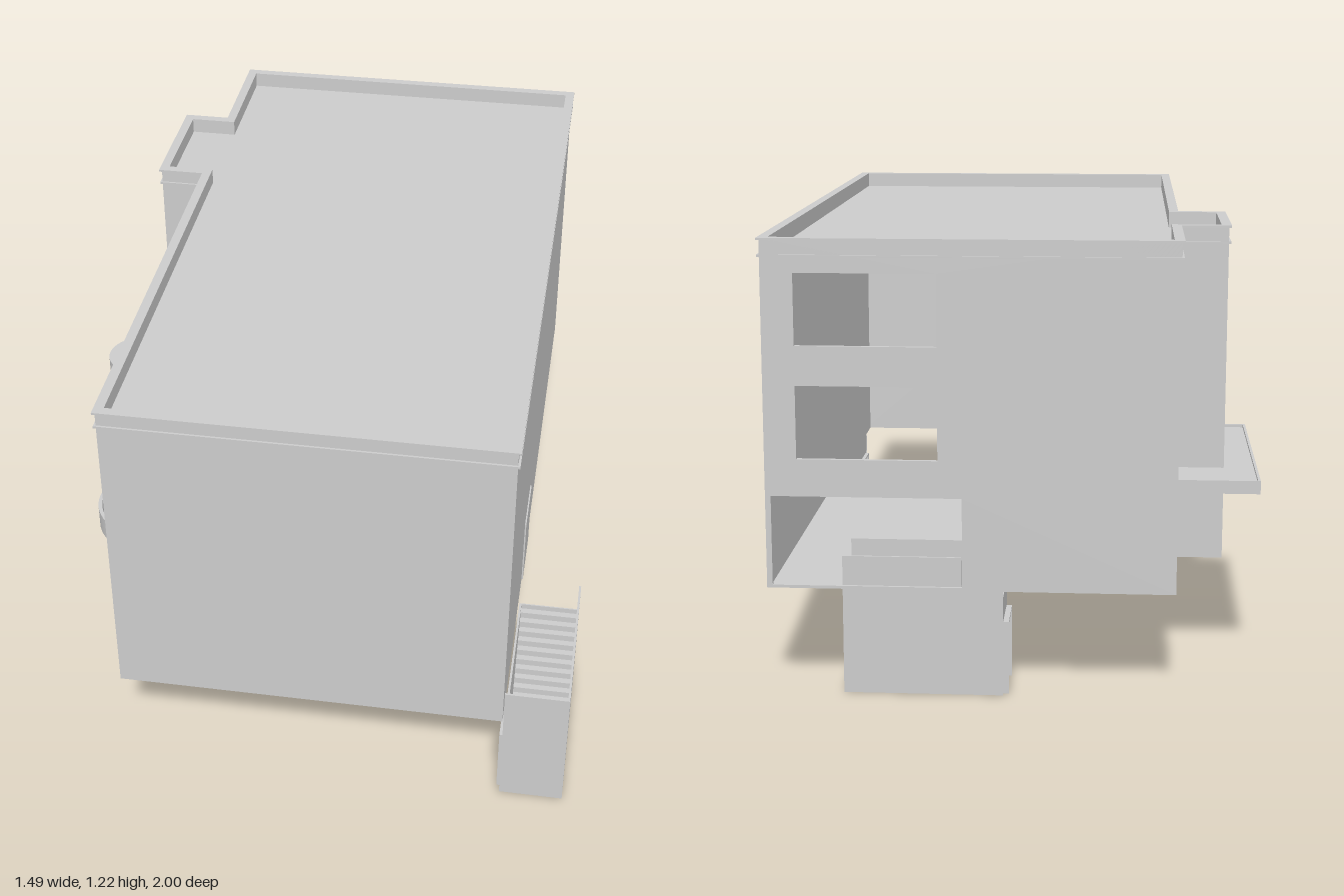
import * as THREE from 'three';
import { toCreasedNormals } from 'three/addons/utils/BufferGeometryUtils.js';

const MAT = new THREE.MeshStandardMaterial({ color: 0xcccccc, side: THREE.DoubleSide });

// Building footprint as [x, z] corners; the inside lies to the right of travel seen from above
const PLAN = [
  [-0.52, -0.993], [0.56, -0.993], [0.56, 0.993], [-0.52, 0.993],
  [-0.52, -0.275], [-0.655, -0.275], [-0.655, -0.635], [-0.52, -0.635],
];
const BASE = 0.29, ROOF = 1.175, TOP = 1.22;

function mesh(parent, name, geometry) {
  const m = new THREE.Mesh(geometry, MAT);
  m.name = name;
  parent.add(m);
  return m;
}

// Box given by its min and max corners
function box(parent, name, [x0, y0, z0], [x1, y1, z1]) {
  const m = mesh(parent, name, new THREE.BoxGeometry(x1 - x0, y1 - y0, z1 - z0));
  m.position.set((x0 + x1) / 2, (y0 + y1) / 2, (z0 + z1) / 2);
  return m;
}

const path = (pts) => pts.map(([x, y]) => new THREE.Vector2(x, y));

// Horizontal plate with its top at y
function slab(parent, name, outline, holes, y, thickness) {
  const shape = new THREE.Shape(path(outline));
  holes.forEach((h) => shape.holes.push(new THREE.Path(path(h))));
  const g = new THREE.ExtrudeGeometry(shape, { depth: thickness, bevelEnabled: false });
  g.rotateX(Math.PI / 2);
  mesh(parent, name, g).position.y = y;
}

const rect = (a0, b0, a1, b1) => [[a0, b0], [a1, b0], [a1, b1], [a0, b1]];

// Axis-aligned wall from a to b; openings are [start, end, bottom, top] along its world axis
function wall(parent, name, a, b, y0, y1, openings = [], thickness = 0.012) {
  const dx = b[0] - a[0], dz = b[1] - a[1];
  const origin = Math.abs(dx) > Math.abs(dz) ? a[0] : a[1];
  const shape = new THREE.Shape(path(rect(0, y0, Math.hypot(dx, dz), y1)));
  for (const [s, e, lo, hi] of openings) {
    shape.holes.push(new THREE.Path(path(rect(Math.abs(s - origin), lo, Math.abs(e - origin), hi))));
  }
  const m = mesh(parent, name, new THREE.ExtrudeGeometry(shape, { depth: thickness, bevelEnabled: false }));
  m.position.set(a[0], 0, a[1]);
  m.rotation.y = -Math.atan2(dz, dx);
}

// Move every footprint edge inwards by d (negative = outwards)
function inset(plan, d) {
  const n = plan.length;
  return plan.map((p, i) => {
    const q = plan[(i + n - 1) % n], r = plan[(i + 1) % n];
    return [
      p[0] - d * (Math.sign(p[1] - q[1]) + Math.sign(r[1] - p[1])),
      p[1] + d * (Math.sign(p[0] - q[0]) + Math.sign(r[0] - p[0])),
    ];
  });
}

// Thin zigzag flight going down along local +x from the top landing
function flight(parent, name, run, rise, width, steps) {
  const g = new THREE.Group();
  g.name = name;
  const t = 0.004, du = run / steps, dy = rise / steps;
  for (let i = 0; i < steps; i++) {
    const y = rise - (i + 1) * dy;
    box(g, 'riser', [i * du, y, -width / 2], [i * du + t, y + dy, width / 2]);
    box(g, 'tread', [i * du, y, -width / 2], [(i + 1) * du + t, y + t, width / 2]);
  }
  parent.add(g);
  return g;
}

export function createModel() {
  const model = new THREE.Group();
  model.name = 'building';

  // Outer walls with window and door openings
  const rows = [[0.64, 0.835], [0.94, 1.13]];
  const windows = (spans, levels = rows) =>
    spans.flatMap(([s, e]) => levels.map(([lo, hi]) => [s, e, lo, hi]));
  const columns = (centres) => windows(centres.map((c) => [c - 0.045, c + 0.045]));
  const openings = {
    0: [...windows([[0.105, 0.475]]), [0.042, 0.545, BASE + 0.003, 0.54]],
    3: [...columns([-0.01, 0.2, 0.345, 0.745, 0.9]), [0.44, 0.64, BASE + 0.003, 0.495]],
    5: windows([[-0.57, -0.345]], [[0.62, 0.84], [0.89, 1.13]]),
    7: columns([-0.895, -0.745]),
  };
  const names = ['backWall', 'leftWall', 'frontWall', 'rightWall',
    'bayFrontSide', 'bayFace', 'bayBackSide', 'rightWallRear'];
  PLAN.forEach((p, i) =>
    wall(model, names[i], p, PLAN[(i + 1) % PLAN.length], BASE, TOP, openings[i]));

  // Roof, parapet and two cornice ledges
  slab(model, 'roof', inset(PLAN, 0.004), [], ROOF, 0.015);
  slab(model, 'parapet', PLAN, [inset(PLAN, 0.02)], TOP - 0.001, TOP - ROOF);
  slab(model, 'upperCornice', inset(PLAN, -0.007), [inset(PLAN, 0.02)], TOP, 0.006);
  slab(model, 'lowerCornice', inset(PLAN, -0.006), [inset(PLAN, 0.004)], ROOF + 0.002, 0.006);

  // Floor of the rear part, open over the rear stairwell
  const floorPlan = PLAN.map(([x, z]) => [x, z > 0.9 ? 0.08 : z]);
  slab(model, 'floor', floorPlan, [rect(0.045, -0.984, 0.36, -0.812)], BASE + 0.008, 0.008);

  // Door on the left side
  box(model, 'sideDoor', [0.555, BASE, 0.2], [0.564, 0.5, 0.39]);

  // Canopy around the bay
  const canopy = rect(-0.745, -0.815, -0.521, -0.1);
  slab(model, 'canopy', canopy, [], 0.548, 0.028);
  slab(model, 'canopyRim', canopy, [rect(-0.738, -0.808, -0.521, -0.107)], 0.556, 0.012);

  // Half-round tower standing on a half-round balcony
  const tower = mesh(model, 'roundTower',
    new THREE.CylinderGeometry(0.087, 0.087, 0.59, 24, 1, false, Math.PI, Math.PI));
  tower.position.set(-0.522, 0.795, 0.54);
  const profile = path([[0, 0.49], [0.15, 0.49], [0.15, 0.505], [0.158, 0.505],
    [0.158, 0.572], [0.147, 0.572], [0.147, 0.512], [0, 0.512]]);
  const balcony = mesh(model, 'balcony',
    toCreasedNormals(new THREE.LatheGeometry(profile, 32, Math.PI, Math.PI), 0.6));
  balcony.position.set(-0.522, 0, 0.54);

  // Side stair: flight, enclosing walls and a doorway under the building
  const t = 0.006;
  const side = new THREE.Group();
  side.name = 'sideStair';
  model.add(side);
  const sideFlight = flight(side, 'sideFlight', 0.29, BASE, 0.17, 15);
  sideFlight.position.set(0.65, 0, 0.5);
  sideFlight.rotation.y = -Math.PI / 2;
  wall(side, 'outerWall', [0.74, 0.5], [0.74, 0.98], 0, 0.38, [], t);
  wall(side, 'endWall', [0.74, 0.98], [0.562, 0.98], 0, 0.38, [], t);
  wall(side, 'innerWall', [0.57, 0.5], [0.57, 0.975], 0, BASE, [[0.82, 0.95, 0.002, 0.2]], t);
  for (const z of [0.814, 0.95]) box(side, 'doorJamb', [0.552, 0, z], [0.57, 0.2, z + t]);
  box(side, 'doorHead', [0.552, 0.2 - t, 0.814], [0.57, 0.2, 0.956]);

  // Rear stair: flight, enclosing walls with parapets and an end doorway
  const rear = new THREE.Group();
  rear.name = 'rearStair';
  model.add(rear);
  const rearFlight = flight(rear, 'rearFlight', 0.29, BASE, 0.17, 15);
  rearFlight.position.set(0.36, 0, -0.8975);
  rearFlight.rotation.y = Math.PI;
  for (const z of [-0.985, -0.816]) {
    wall(rear, 'stairWall', [0.045, z], [0.36, z], 0, 0.378, [], t);
    wall(rear, 'landingWall', [-0.065, z], [0.045, z], 0, z < -0.9 ? BASE : 0.265, [], t);
  }
  wall(rear, 'endWall', [-0.065, -0.81], [-0.065, -0.985], 0, 0.265, [[-0.83, -0.965, 0.002, 0.2]], t);
  for (const z of [-0.971, -0.83]) box(rear, 'doorJamb', [-0.08, 0, z], [-0.06, 0.2, z + t]);
  box(rear, 'doorHead', [-0.08, 0.2 - t, -0.971], [-0.06, 0.2, -0.824]);
  slab(rear, 'landingCeiling', rect(-0.065, -0.985, 0.045, -0.81), [], 0.268, 0.004);

  return model;
}
